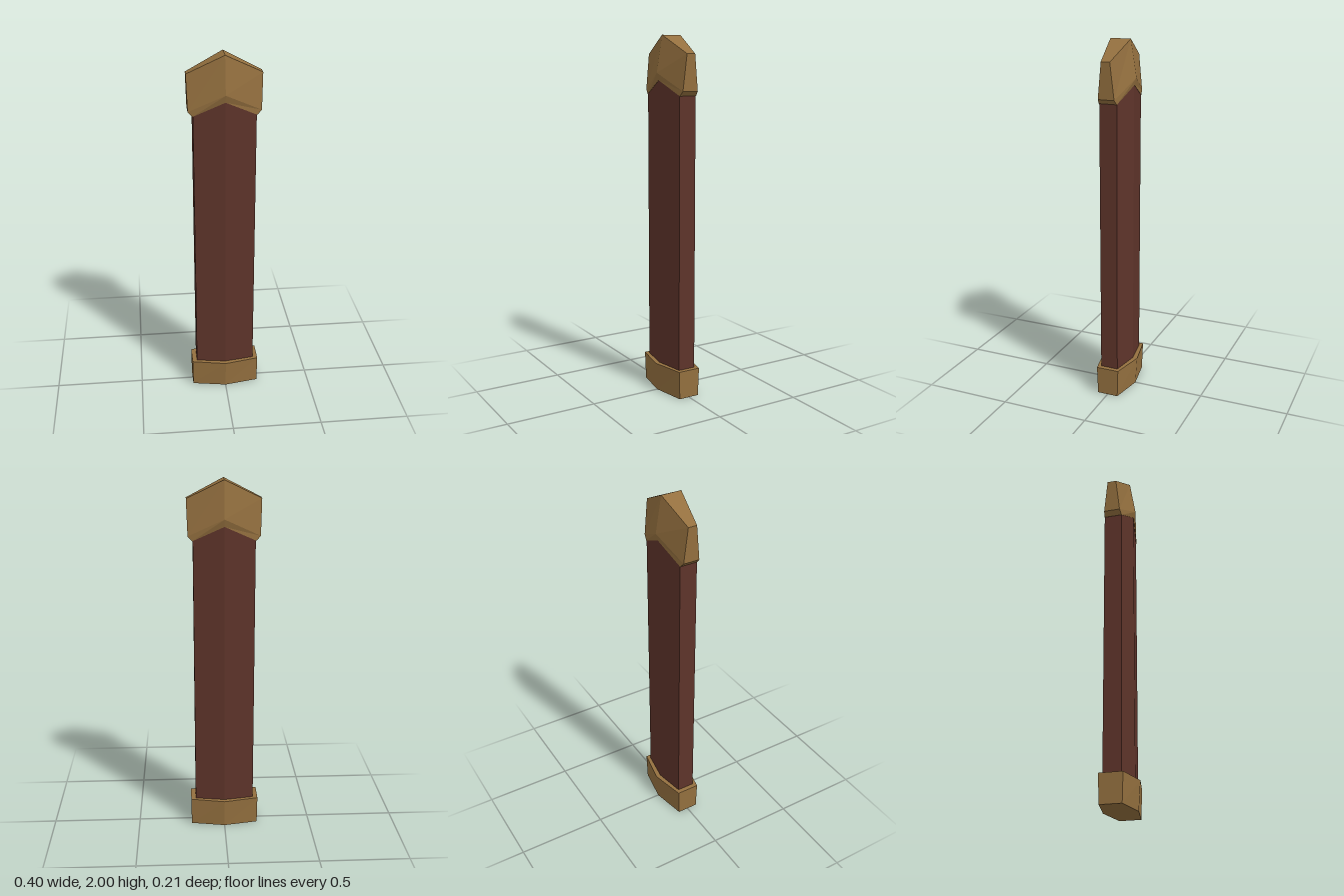
import * as THREE from 'three';

// A hexagonal ring: narrow flat sides at x = ±w, a ridge at x = 0 front and back.
// side / ridge are half depths; ySide / yRidge let the ring bend into a chevron.
function ring({ w, side, ridge, ySide, yRidge = ySide }) {
  return [
    [w, ySide, side], [0, yRidge, ridge], [-w, ySide, side],
    [-w, ySide, -side], [0, yRidge, -ridge], [w, ySide, -side],
  ];
}

// Closed solid lofted through rings from bottom to top.
function loft(name, color, sections) {
  const rings = sections.map(ring);
  const positions = [];
  const quad = (a, b, c, d) => positions.push(...a, ...b, ...c, ...a, ...c, ...d);
  for (let r = 0; r < rings.length - 1; r++) {
    const lo = rings[r], hi = rings[r + 1];
    for (let i = 0; i < 6; i++) {
      const j = (i + 1) % 6;
      quad(lo[j], lo[i], hi[i], hi[j]);
    }
  }
  // End caps, each split along the ridge line
  const b = rings[0], t = rings[rings.length - 1];
  quad(t[5], t[4], t[1], t[0]);
  quad(t[4], t[3], t[2], t[1]);
  quad(b[0], b[1], b[4], b[5]);
  quad(b[1], b[2], b[3], b[4]);

  const geometry = new THREE.BufferGeometry();
  geometry.setAttribute('position', new THREE.Float32BufferAttribute(positions, 3));
  geometry.computeVertexNormals();
  const material = new THREE.MeshStandardMaterial({ color, flatShading: true });
  const mesh = new THREE.Mesh(geometry, material);
  mesh.name = name;
  return mesh;
}

export function createModel() {
  const model = new THREE.Group();
  model.name = 'scabbard';
  const brass = 0x94703f, leather = 0x5e342a;

  // Long leather body
  model.add(loft('body', leather, [
    { w: 0.167, side: 0.05, ridge: 0.078, ySide: 0.05 },
    { w: 0.167, side: 0.05, ridge: 0.078, ySide: 1.69, yRidge: 1.77 },
  ]));

  // Foot ferrule, slightly wider at its upper rim
  model.add(loft('footFerrule', brass, [
    { w: 0.192, side: 0.06, ridge: 0.095, ySide: 0 },
    { w: 0.194, side: 0.065, ridge: 0.105, ySide: 0.16 },
  ]));

  // Peaked head cap with a bevelled lower edge, tapering upward
  model.add(loft('headCap', brass, [
    { w: 0.17, side: 0.051, ridge: 0.08, ySide: 1.68, yRidge: 1.76 },
    { w: 0.194, side: 0.046, ridge: 0.091, ySide: 1.705, yRidge: 1.8 },
    { w: 0.2, side: 0.025, ridge: 0.058, ySide: 1.9, yRidge: 2 },
  ]));

  return model;
}
